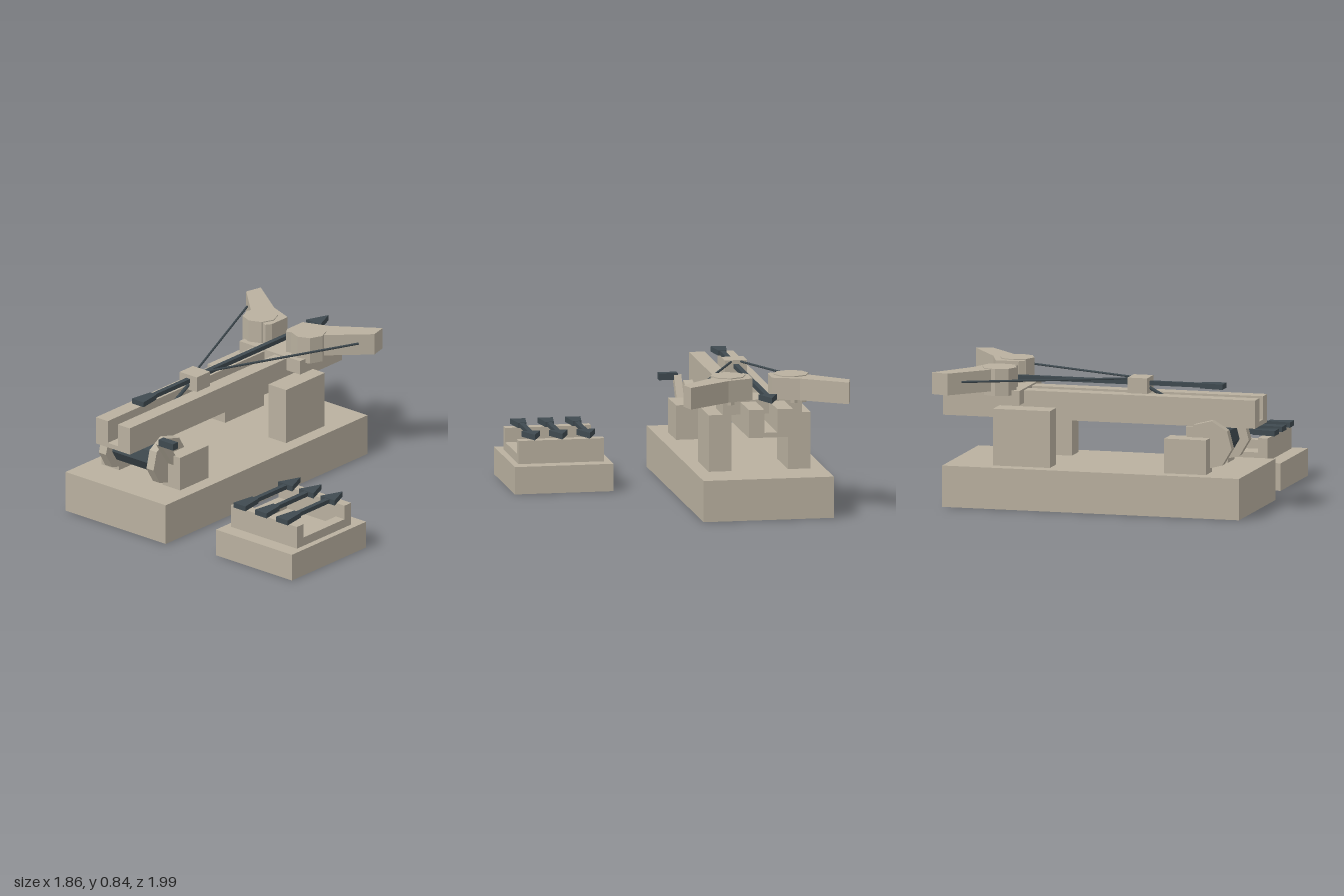
import * as THREE from 'three';

const stone = new THREE.MeshStandardMaterial({ color: 0xb9b09f });
stone.name = 'stone beige';
const iron = new THREE.MeshStandardMaterial({ color: 0x3f4a50 });
iron.name = 'dark iron';

function add(parent, name, geometry, material) {
  const mesh = new THREE.Mesh(geometry, material);
  mesh.name = name;
  parent.add(mesh);
  return mesh;
}

// box given by its limits on each axis
function box(parent, name, material, x0, x1, y0, y1, z0, z1) {
  const mesh = add(parent, name, new THREE.BoxGeometry(Math.abs(x1 - x0), y1 - y0, z1 - z0), material);
  mesh.position.set((x0 + x1) / 2, (y0 + y1) / 2, (z0 + z1) / 2);
  return mesh;
}

// flat plan outline of [x, z] points raised from y0 to y1
function slab(parent, name, material, points, y0, y1) {
  const shape = new THREE.Shape(points.map(([x, z]) => new THREE.Vector2(x, -z)));
  const geometry = new THREE.ExtrudeGeometry(shape, { depth: y1 - y0, bevelEnabled: false });
  geometry.rotateX(-Math.PI / 2).translate(0, y0, 0);
  return add(parent, name, geometry, material);
}

// faceted eight-sided cylinder
function octagon(radius, height, start = 0) {
  const geometry = new THREE.CylinderGeometry(radius, radius, height, 8, 1, false, start).toNonIndexed();
  geometry.computeVertexNormals();
  return geometry;
}

// thin cord between two points
function cord(parent, name, from, to, radius) {
  const a = new THREE.Vector3(...from);
  const b = new THREE.Vector3(...to);
  const mesh = add(parent, name, new THREE.CylinderGeometry(radius, radius, a.distanceTo(b), 6), iron);
  mesh.position.copy(a).lerp(b, 0.5);
  mesh.quaternion.setFromUnitVectors(new THREE.Vector3(0, 1, 0), b.sub(a).normalize());
  return mesh;
}

// bolt lying along z with its tip at z0 and its vanes ending at z1
function bolt(parent, name, x, y, z0, z1) {
  const group = new THREE.Group();
  group.name = name;
  group.position.set(x, y, 0);
  box(group, 'boltShaft', iron, -0.015, 0.015, -0.013, 0.013, z0 + 0.13, z1 - 0.13);
  slab(group, 'boltHead', iron, [[0, z0], [0.057, z0 + 0.14], [-0.057, z0 + 0.14]], -0.017, 0.017);
  slab(group, 'boltVanes', iron,
    [[-0.026, z1 - 0.145], [0.026, z1 - 0.145], [0.047, z1], [-0.047, z1]], -0.016, 0.016);
  parent.add(group);
}

function buildLauncher() {
  const g = new THREE.Group();
  g.name = 'launcher';
  g.position.x = -0.42;

  box(g, 'base', stone, -0.4, 0.4, 0, 0.253, -0.895, 0.97);

  // grooved rail
  const profile = [[-0.135, 0.52], [0.135, 0.52], [0.135, 0.692], [0.04, 0.692],
    [0.04, 0.55], [-0.04, 0.55], [-0.04, 0.692], [-0.135, 0.692]];
  const railShape = new THREE.Shape(profile.map(([x, y]) => new THREE.Vector2(x, y)));
  const rail = add(g, 'rail', new THREE.ExtrudeGeometry(railShape, { depth: 1.96, bevelEnabled: false }), stone);
  rail.position.z = -0.965;

  box(g, 'crossBeam', stone, -0.242, 0.242, 0.615, 0.703, -0.69, -0.455);
  box(g, 'triggerBlock', stone, -0.068, 0.068, 0.69, 0.787, 0.175, 0.298);
  bolt(g, 'loadedBolt', 0, 0.75, -0.998, 0.765);
  cord(g, 'winchRope', [0, 0.74, 0.26], [0, 0.48, 0.74], 0.011);

  for (const s of [-1, 1]) {
    const side = s > 0 ? 'left' : 'right';
    box(g, side + 'Pillar', stone, s * 0.173, s * 0.313, 0.253, 0.6, -0.6, -0.243);
    box(g, side + 'WinchBlock', stone, s * 0.173, s * 0.313, 0.253, 0.465, 0.475, 0.737);

    // torsion bundle and throwing arm
    const bundle = add(g, side + 'Bundle', octagon(0.107, 0.166), stone);
    bundle.position.set(s * 0.194, 0.758, -0.592);
    const arm = [[0.512, -0.83], [0.486, -0.935], [0.22, -0.75], [0.06, -0.69],
      [0.06, -0.545], [0.083, -0.51], [0.14, -0.535], [0.24, -0.57], [0.285, -0.614]];
    slab(g, side + 'Arm', stone, arm.map(([x, z]) => [s * x, z]), 0.702, 0.835);
    cord(g, side + 'Bowstring', [s * 0.444, 0.777, -0.76], [s * 0.025, 0.777, 0.19], 0.007);

    // winch cheek
    const cheek = add(g, side + 'WinchCheek', octagon(0.15, 0.057, -0.14).rotateZ(Math.PI / 2), stone);
    cheek.position.set(s * 0.19, 0.42, 0.723);
  }

  const drum = add(g, 'winchDrum', octagon(0.098, 0.33, -0.14).rotateZ(Math.PI / 2), iron);
  drum.position.set(0, 0.418, 0.717);

  // crank on the left cheek
  const crank = box(g, 'crankArm', stone, 0.218, 0.263, 0.405, 0.595, 0.75, 0.8);
  crank.rotation.x = 0.6;
  box(g, 'crankHandle', iron, 0.24, 0.355, 0.56, 0.602, 0.805, 0.85);
  return g;
}

function buildAmmoStand() {
  const g = new THREE.Group();
  g.name = 'boltStand';
  g.position.x = 0.628;

  box(g, 'standBase', stone, -0.303, 0.303, 0, 0.168, 0.217, 0.905);
  // tall end walls with low side rails between them
  box(g, 'backWall', stone, -0.263, 0.263, 0.168, 0.31, 0.31, 0.372);
  box(g, 'frontWall', stone, -0.263, 0.263, 0.168, 0.31, 0.75, 0.812);
  for (const s of [-1, 1]) {
    box(g, 'sideRail', stone, s * 0.195, s * 0.263, 0.168, 0.222, 0.372, 0.75);
  }
  for (const i of [-1, 0, 1]) bolt(g, 'spareBolt', i * 0.169, 0.333, 0.28, 0.842);
  return g;
}

export function createModel() {
  const model = new THREE.Group();
  model.name = 'boltThrower';
  model.add(buildLauncher(), buildAmmoStand());
  return model;
}
